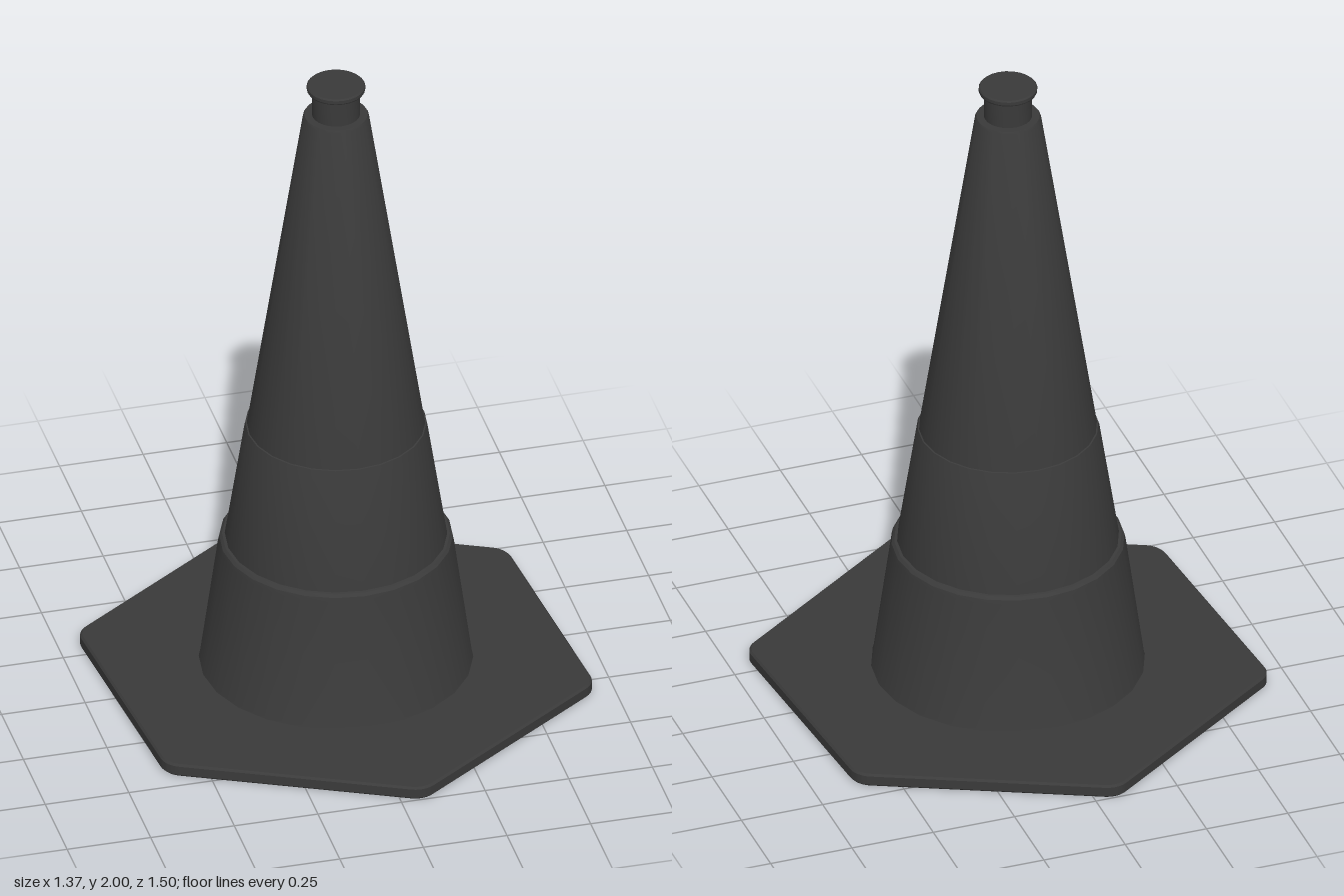
import * as THREE from 'three';
import { toCreasedNormals } from 'three/addons/utils/BufferGeometryUtils.js';

const rubber = new THREE.MeshStandardMaterial({ color: 0x3a3a3a });

function addPart(group, name, geometry) {
  const mesh = new THREE.Mesh(toCreasedNormals(geometry, 0.45), rubber);
  mesh.name = name;
  group.add(mesh);
}

// Profile points are [radius, height], from bottom to top
function turned(profile) {
  return new THREE.LatheGeometry(profile.map(([r, y]) => new THREE.Vector2(r, y)), 24);
}

// Hexagon with rounded corners, turned slightly about its centre
function roundedHexagon(radius, corner, turn) {
  const shape = new THREE.Shape();
  const centre = radius - corner / Math.cos(Math.PI / 6);
  for (let i = 0; i < 6; i++) {
    const a = turn + (i * Math.PI) / 3;
    shape.absarc(centre * Math.cos(a), centre * Math.sin(a), corner, a - Math.PI / 6, a + Math.PI / 6, false);
  }
  shape.closePath();
  return shape;
}

export function createModel() {
  const group = new THREE.Group();
  group.name = 'trafficCone';

  // Flat base plate with softened rims
  const bevel = 0.006;
  const plate = new THREE.ExtrudeGeometry(roundedHexagon(0.762, 0.07, THREE.MathUtils.degToRad(95)), {
    depth: 0.04 - 2 * bevel,
    bevelThickness: bevel,
    bevelSize: bevel,
    bevelOffset: -bevel,
    bevelSegments: 1,
    curveSegments: 5,
  });
  plate.rotateX(-Math.PI / 2).translate(0, bevel, 0);
  addPart(group, 'basePlate', plate);

  // Thick lower sleeve with a rounded shoulder
  addPart(group, 'lowerSleeve', turned([
    [0.402, 0.03], [0.395, 0.045], [0.341, 0.44], [0.338, 0.453], [0.33, 0.461], [0.315, 0.463],
  ]));

  // Thin middle band
  addPart(group, 'middleBand', turned([[0.323, 0.455], [0.265, 0.832], [0.262, 0.84], [0.255, 0.842]]));

  // Tapering upper body
  addPart(group, 'upperBody', turned([[0.259, 0.835], [0.096, 1.893], [0.092, 1.9], [0.065, 1.9]]));

  // Neck and top flange
  addPart(group, 'neck', turned([
    [0.07, 1.895], [0.07, 1.975], [0.083, 1.982], [0.085, 1.986], [0.085, 1.996], [0.081, 2], [0, 2],
  ]));

  return group;
}
